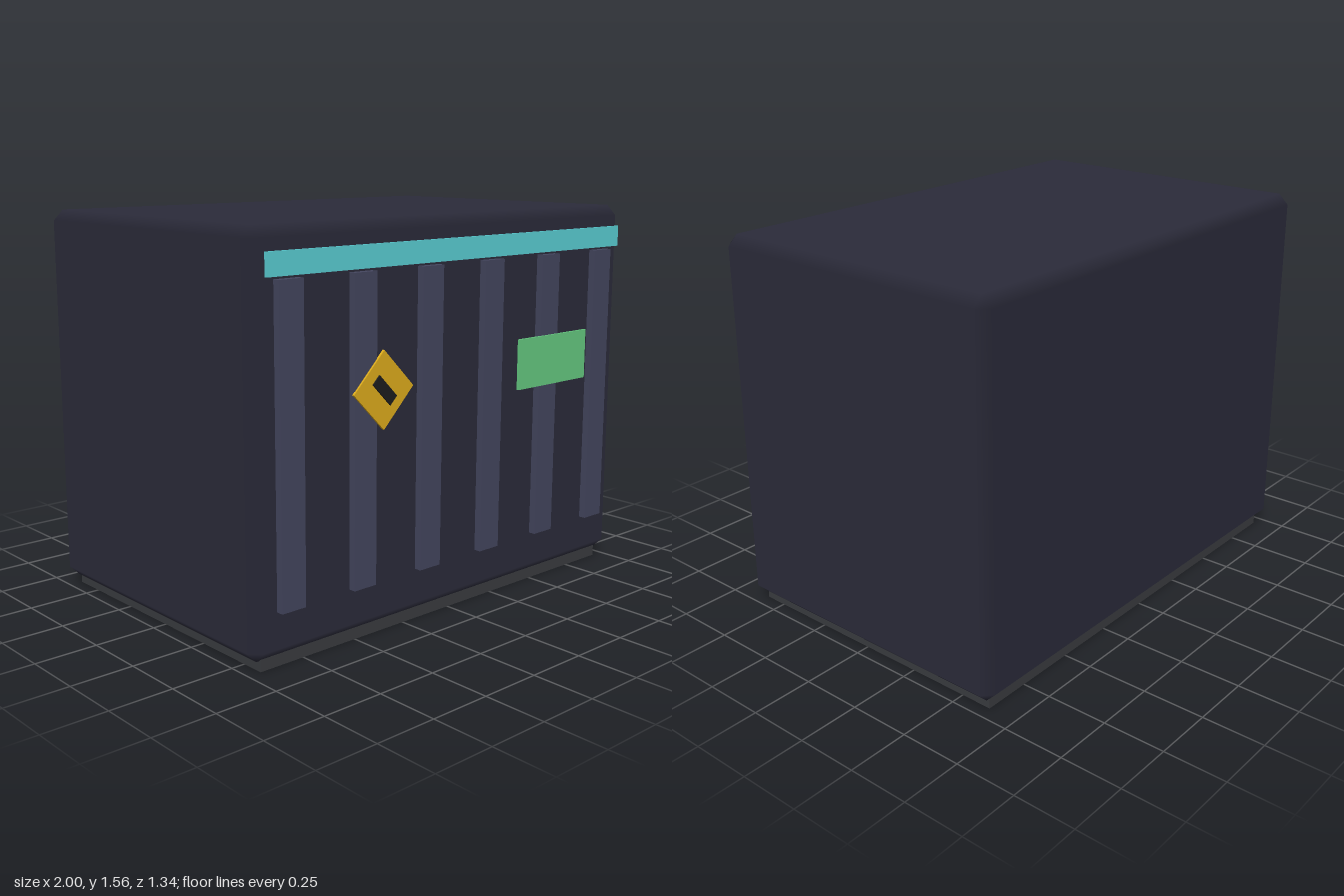
import * as THREE from 'three';
import { ConvexGeometry } from 'three/addons/geometries/ConvexGeometry.js';

// Box with chamfered edges; normals blend across the chamfers, faces stay flat
function chamferBox(w, h, d, c) {
  const half = [w / 2, h / 2, d / 2];
  const points = [];
  for (const sx of [-1, 1]) for (const sy of [-1, 1]) for (const sz of [-1, 1]) {
    for (let axis = 0; axis < 3; axis++) {
      const s = [sx, sy, sz];
      points.push(new THREE.Vector3(...half.map((v, i) => s[i] * (i === axis ? v : v - c))));
    }
  }
  const geometry = new ConvexGeometry(points);
  const pos = geometry.attributes.position;
  for (let i = 0; i < pos.count; i++) {
    const p = [pos.getX(i), pos.getY(i), pos.getZ(i)];
    const n = p.map((v, k) => (Math.abs(v) > half[k] - c / 2 ? Math.sign(v) : 0));
    geometry.attributes.normal.setXYZ(i, ...n);
  }
  return geometry;
}

export function createModel() {
  const group = new THREE.Group();
  const material = (color) => new THREE.MeshStandardMaterial({ color });

  const add = (name, geometry, mat, x, y, z) => {
    const mesh = new THREE.Mesh(geometry, mat);
    mesh.name = name;
    mesh.position.set(x, y, z);
    group.add(mesh);
    return mesh;
  };

  // Main housing and inset plinth
  add('body', chamferBox(2, 1.52, 1.3, 0.042), material(0x2b2b3a), 0, 0.8, -0.02);
  add('base', new THREE.BoxGeometry(1.89, 0.06, 1.225), material(0x3a3c40), 0, 0.03, -0.018);

  // Vertical ribs on the front
  const ribMaterial = material(0x44465f);
  const ribGeometry = new THREE.BoxGeometry(0.107, 1.16, 0.04);
  for (let i = 0; i < 6; i++) {
    add('rib' + (i + 1), ribGeometry, ribMaterial, (i - 2.5) * 0.337, 0.8, 0.639);
  }

  // Light strip above the ribs
  add('lightStrip', new THREE.BoxGeometry(1.89, 0.084, 0.011), material(0x5bd0d6), 0, 1.433, 0.652);

  // Diamond warning plate with its dark bar
  const plate = add('warningPlate', new THREE.BoxGeometry(0.207, 0.207, 0.01), material(0xe0ae1c), -0.424, 0.95, 0.662);
  plate.rotation.z = Math.PI / 4;
  const bar = add('warningBar', new THREE.BoxGeometry(0.045, 0.12, 0.008), material(0x1c1c1e), -0.424, 0.95, 0.669);
  bar.rotation.z = Math.PI / 4;

  // Status panel
  add('statusPanel', new THREE.BoxGeometry(0.42, 0.204, 0.01), material(0x66cc82), 0.525, 0.953, 0.662);

  return group;
}
